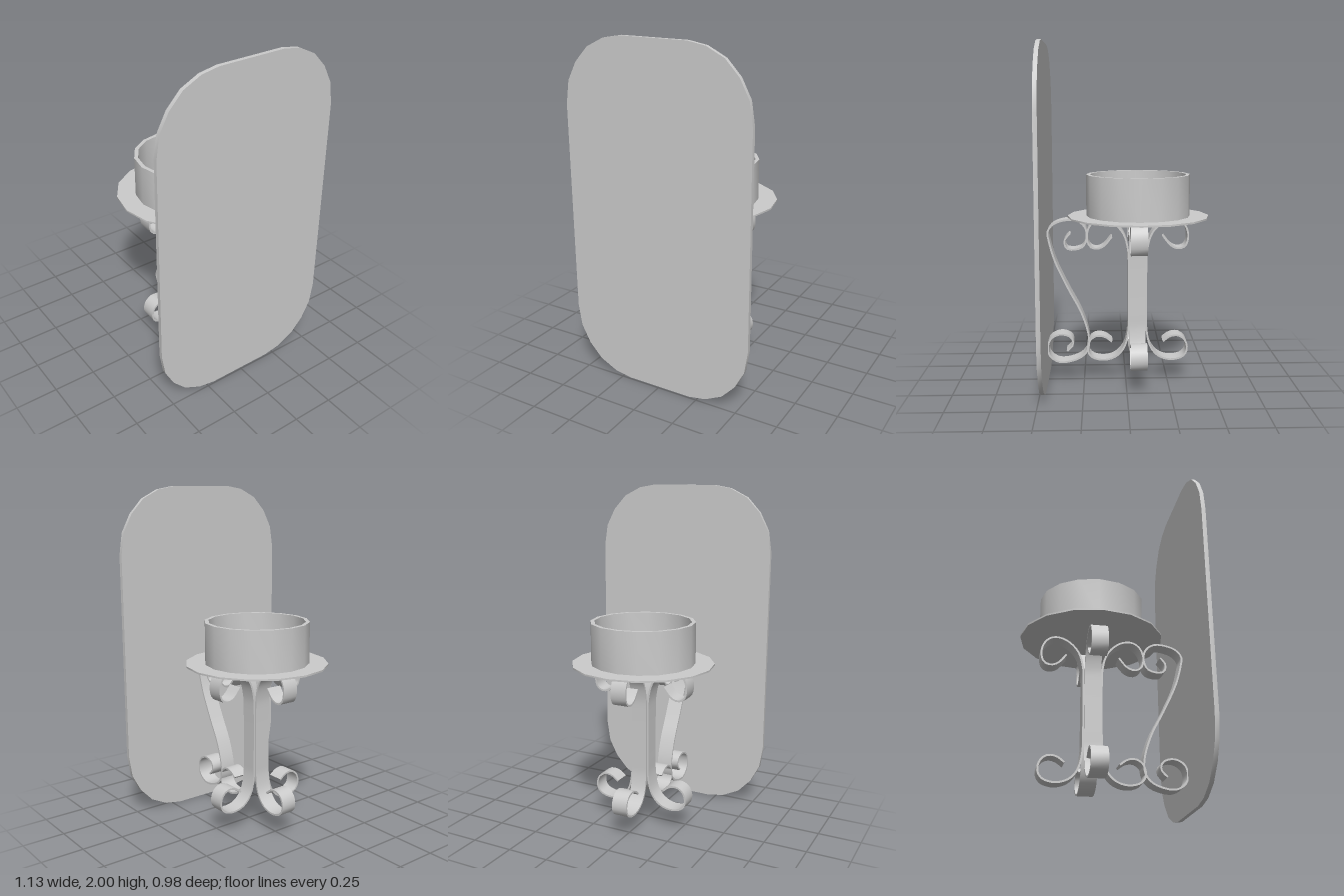
import * as THREE from 'three';
import { toCreasedNormals } from 'three/addons/utils/BufferGeometryUtils.js';

const material = new THREE.MeshStandardMaterial({ color: 0xcccccc, side: THREE.DoubleSide });
const STRIP_WIDTH = 0.095;
const STRIP_THICKNESS = 0.011;

function addMesh(parent, name, geometry, crease = 0.7) {
  const mesh = new THREE.Mesh(toCreasedNormals(geometry, crease), material);
  mesh.name = name;
  parent.add(mesh);
  return mesh;
}

// Flat metal strip bent along a smooth path in the XY plane
function stripGeometry(path, divisions) {
  const curve = new THREE.SplineCurve(path.map(([x, y]) => new THREE.Vector2(x, y)));
  const near = [], far = [];
  for (let i = 0; i <= divisions; i++) {
    const t = i / divisions;
    const p = curve.getPointAt(t);
    const d = curve.getTangentAt(t);
    const n = new THREE.Vector2(-d.y, d.x).multiplyScalar(STRIP_THICKNESS / 2);
    near.push(p.clone().add(n));
    far.push(p.clone().sub(n));
  }
  const shape = new THREE.Shape([...near, ...far.reverse()]);
  return new THREE.ExtrudeGeometry(shape, { depth: STRIP_WIDTH, bevelEnabled: false })
    .translate(0, 0, -STRIP_WIDTH / 2);
}

function lathe(profile) {
  return new THREE.LatheGeometry(profile.map(([r, y]) => new THREE.Vector2(r, y)), 16);
}

export function createModel() {
  const group = new THREE.Group();

  // Backplate: tall panel with faceted round corners, mirrored from one quarter
  const corner = [[0.565, 0.61], [0.545, 0.74], [0.49, 0.845], [0.41, 0.93], [0.305, 0.982], [0.2, 1]];
  const reversed = [...corner].reverse();
  const outline = [
    ...corner,
    ...reversed.map(([x, y]) => [-x, y]),
    ...corner.map(([x, y]) => [-x, -y]),
    ...reversed.map(([x, y]) => [x, -y]),
  ].map(([x, y]) => new THREE.Vector2(x, y + 1));
  const plate = new THREE.ExtrudeGeometry(new THREE.Shape(outline), { depth: 0.024, bevelEnabled: false });
  addMesh(group, 'backplate', plate).position.z = 0.466;

  // Candle holder: thin dish with an open cup on it
  const holder = new THREE.Group();
  holder.name = 'candleHolder';
  holder.position.z = -0.073;
  group.add(holder);
  addMesh(holder, 'dish', lathe([[0, 0.99], [0.416, 0.992], [0.416, 1.002], [0, 1.002]]));
  addMesh(holder, 'cup', lathe([[0.305, 1], [0.305, 1.245], [0.282, 1.245], [0.282, 1.008], [0, 1.008]]));

  // Stand: four scrolled strips back to back
  const stand = new THREE.Group();
  stand.name = 'stand';
  stand.position.z = -0.069;
  group.add(stand);
  const legPath = [
    [0.153, 0.88], [0.2, 0.825], [0.25, 0.81], [0.288, 0.835], [0.297, 0.9], [0.27, 0.96],
    [0.215, 0.985], [0.145, 0.963], [0.085, 0.9], [0.058, 0.81], [0.052, 0.7], [0.052, 0.42],
    [0.055, 0.31], [0.077, 0.215], [0.127, 0.155], [0.2, 0.133], [0.27, 0.15], [0.297, 0.195],
    [0.285, 0.25], [0.245, 0.28], [0.195, 0.275], [0.153, 0.245],
  ];
  const leg = stripGeometry(legPath, 80);
  for (let i = 0; i < 4; i++) addMesh(stand, 'scrollLeg', leg).rotation.y = i * Math.PI / 2;

  // Bracket: S-scroll joining the stand to the backplate
  const bracketPath = [
    [0.33, 0.9], [0.36, 0.86], [0.35, 0.815], [0.305, 0.805], [0.25, 0.825], [0.23, 0.885],
    [0.245, 0.945], [0.305, 0.982], [0.405, 0.967], [0.456, 0.92], [0.452, 0.857], [0.415, 0.73],
    [0.34, 0.57], [0.267, 0.43], [0.225, 0.3], [0.225, 0.205], [0.278, 0.145], [0.384, 0.12],
    [0.45, 0.155], [0.466, 0.21], [0.447, 0.265], [0.39, 0.292], [0.33, 0.275], [0.315, 0.23],
    [0.35, 0.19],
  ];
  addMesh(group, 'wallBracket', stripGeometry(bracketPath, 90)).rotation.y = -Math.PI / 2;

  return group;
}
